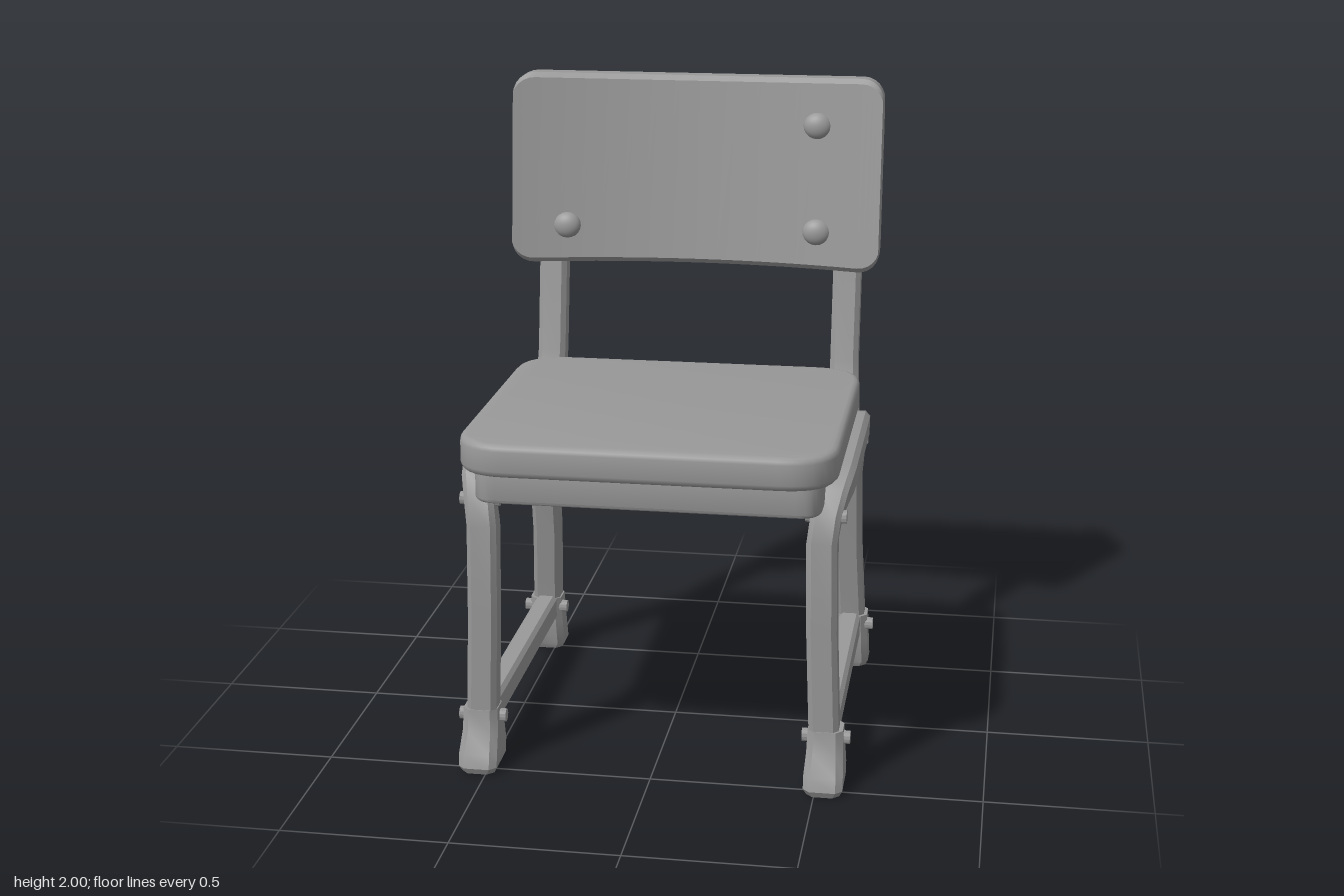
import * as THREE from 'three';
import { toCreasedNormals } from 'three/addons/utils/BufferGeometryUtils.js';

const grey = new THREE.MeshStandardMaterial({ color: 0x999999 });
grey.name = 'grey';

// Rectangle with chamfered corners, as [u, v] pairs
function chamferedRect(w, h, c) {
  const a = w / 2, b = h / 2;
  return [[a - c, -b], [a, -b + c], [a, b - c], [a - c, b], [-a + c, b], [-a, b - c], [-a, -b + c], [-a + c, -b]];
}

// Skin a list of equal rings and close both ends
function loft(rings, crease = 0.6) {
  const n = rings[0].length, pos = [], index = [];
  rings.forEach(r => r.forEach(p => pos.push(...p)));
  for (let i = 0; i < rings.length - 1; i++) {
    for (let j = 0; j < n; j++) {
      const a = i * n + j, b = i * n + (j + 1) % n;
      index.push(a, b, b + n, a, b + n, a + n);
    }
  }
  const last = (rings.length - 1) * n;
  for (let j = 1; j < n - 1; j++) index.push(0, j + 1, j, last, last + j, last + j + 1);
  // Turn the faces outward where the rings run the other way
  const v = i => new THREE.Vector3().fromArray(pos, i * 3);
  let volume = 0;
  for (let i = 0; i < index.length; i += 3) {
    volume += v(index[i]).dot(v(index[i + 1]).cross(v(index[i + 2])));
  }
  if (volume < 0) index.reverse();
  const geo = new THREE.BufferGeometry();
  geo.setAttribute('position', new THREE.Float32BufferAttribute(pos, 3));
  geo.setIndex(index);
  return toCreasedNormals(geo, crease);
}

// Rectangular bar along a path of [x, y, z]
function bar(path, w, d, c = 0.015) {
  return loft(path.map((p, i) => {
    const a = path[Math.max(i - 1, 0)], b = path[Math.min(i + 1, path.length - 1)];
    const len = Math.hypot(b[1] - a[1], b[2] - a[2]);
    const ty = (b[1] - a[1]) / len, tz = (b[2] - a[2]) / len;
    return chamferedRect(w, d, c).map(([u, v]) => [p[0] + u, p[1] - tz * v, p[2] + ty * v]);
  }));
}

// Upright board, bowed to the rear, leaning back, with rounded corners
function bowedBoard({ half, y0, y1, z, bow, lean, thick, radius }) {
  const xs = [];
  for (let i = 0; i <= 6; i++) xs.push(-half + radius * (1 - Math.cos(i / 6 * Math.PI / 2)));
  for (let i = 1; i < 16; i++) xs.push((half - radius) * (i / 8 - 1));
  for (let i = 6; i >= 0; i--) xs.push(half - radius * (1 - Math.cos(i / 6 * Math.PI / 2)));
  const rings = xs.map(x => {
    const over = Math.max(0, Math.abs(x) - (half - radius));
    const trim = radius - Math.sqrt(Math.max(0, radius * radius - over * over));
    const t = thick * (Math.abs(x) > half - 0.001 ? 0.7 : 1);
    const zc = z - bow * (1 - (x / half) ** 2);
    const sag = 0.012 * (1 - (x / half) ** 2);
    return chamferedRect(t, y1 - y0 - 2 * trim - sag, 0.015).map(([u, v]) => {
      const y = (y0 + y1 - sag) / 2 + v;
      return [x, y, zc + u - lean * (y - y0)];
    });
  });
  return loft(rings, 0.5);
}

// Flat slab with rounded corners and softened edges
function slab(x, z0, z1, y0, y1, r, bevel) {
  const s = new THREE.Shape(), a = x - bevel, b = -z1 + bevel, t = -z0 - bevel;
  s.moveTo(-a + r, b);
  s.lineTo(a - r, b).quadraticCurveTo(a, b, a, b + r);
  s.lineTo(a, t - r).quadraticCurveTo(a, t, a - r, t);
  s.lineTo(-a + r, t).quadraticCurveTo(-a, t, -a, t - r);
  s.lineTo(-a, b + r).quadraticCurveTo(-a, b, -a + r, b);
  const g = new THREE.ExtrudeGeometry(s, {
    depth: y1 - y0 - 2 * bevel, bevelEnabled: true, bevelSize: bevel,
    bevelThickness: bevel, bevelSegments: 3, curveSegments: 8,
  });
  g.rotateX(-Math.PI / 2).translate(0, y0 + bevel, 0);
  return toCreasedNormals(g, 0.6);
}

export function createModel() {
  const model = new THREE.Group();
  model.name = 'chair';
  const add = (name, geo, parent = model) => {
    const m = new THREE.Mesh(geo, grey);
    m.name = name;
    parent.add(m);
    return m;
  };

  // Seat and the tray below it
  add('seat', slab(0.555, -0.36, 0.655, 0.983, 1.083, 0.14, 0.02));
  add('seatTray', slab(0.51, -0.33, 0.595, 0.885, 1.0, 0.06, 0.012));

  // Backrest: curved front board and rear panel
  add('backBoard', bowedBoard({
    half: 0.595, y0: 1.39, y1: 2.0, z: -0.39, bow: 0.085, lean: 0.11, thick: 0.085, radius: 0.07,
  }));
  add('rearPanel', bowedBoard({
    half: 0.5, y0: 1.41, y1: 1.95, z: -0.505, bow: 0.035, lean: 0.14, thick: 0.085, radius: 0.01,
  }));

  // Round bolt heads on the backrest
  for (const [x, y] of [[0.385, 1.845], [0.39, 1.51], [-0.42, 1.51]]) {
    const dome = new THREE.SphereGeometry(1, 20, 8, 0, Math.PI * 2, 0, Math.PI / 2);
    dome.scale(0.045, 0.028, 0.042).rotateX(Math.PI / 2 - 0.11);
    const z = -0.39 - 0.085 * (1 - (x / 0.595) ** 2) - 0.11 * (y - 1.39) + 0.04;
    add('backBolt', dome).position.set(x, y, z);
  }

  // Left and right frames
  for (const side of [1, -1]) {
    const frame = new THREE.Group();
    frame.name = side > 0 ? 'leftFrame' : 'rightFrame';
    model.add(frame);
    const put = (name, path, w, d, c) =>
      add(name, bar(path.map(([x, y, z]) => [x * side, y, z]), w, d, c), frame);

    put('legLoop', [
      [0.525, 0.08, 0.455], [0.51, 0.5, 0.465], [0.506, 0.78, 0.468], [0.515, 0.85, 0.458],
      [0.53, 0.9, 0.425], [0.54, 0.922, 0.37], [0.543, 0.927, 0.3], [0.543, 0.927, -0.23],
      [0.54, 0.917, -0.285], [0.533, 0.89, -0.335], [0.522, 0.83, -0.38], [0.51, 0.7, -0.408],
      [0.512, 0.45, -0.458], [0.528, 0.08, -0.522],
    ], 0.09, 0.084);
    put('backPost', [
      [0.5, 0.84, -0.385], [0.495, 0.92, -0.415], [0.488, 1.0, -0.45],
      [0.485, 1.08, -0.47], [0.485, 1.45, -0.528],
    ], 0.09, 0.08);
    put('upperPost', [[0.498, 1.41, -0.505], [0.498, 1.94, -0.592]], 0.115, 0.11, 0.02);
    put('stretcher', [[0.522, 0.155, 0.48], [0.522, 0.155, -0.52]], 0.07, 0.085, 0.012);

    // Feet: the front ones kick forward
    const foot = (name, levels) => add(name, loft(levels.map(([y, zc, w, d]) =>
      chamferedRect(w, d, 0.02).map(([u, v]) => [0.526 * side + u, y, zc + v]))), frame);
    foot('frontFoot', [[0, 0.475, 0.1, 0.145], [0.02, 0.475, 0.118, 0.165],
      [0.06, 0.465, 0.118, 0.165], [0.12, 0.448, 0.11, 0.125], [0.19, 0.452, 0.105, 0.1]]);
    foot('rearFoot', [[0, -0.52, 0.1, 0.09], [0.02, -0.52, 0.118, 0.11],
      [0.1, -0.51, 0.112, 0.105], [0.19, -0.502, 0.105, 0.1]]);

    // Small bolts through the frame
    for (const [x, y, z, len] of [[0.526, 0.155, 0.445, 0.145], [0.526, 0.155, -0.485, 0.145],
      [0.515, 0.855, 0.46, 0.12], [0.515, 0.842, -0.375, 0.12]]) {
      const pin = new THREE.CylinderGeometry(0.02, 0.02, len, 12).rotateZ(Math.PI / 2);
      add('frameBolt', toCreasedNormals(pin, 0.7), frame).position.set(x * side, y, z);
    }
  }
  return model;
}
